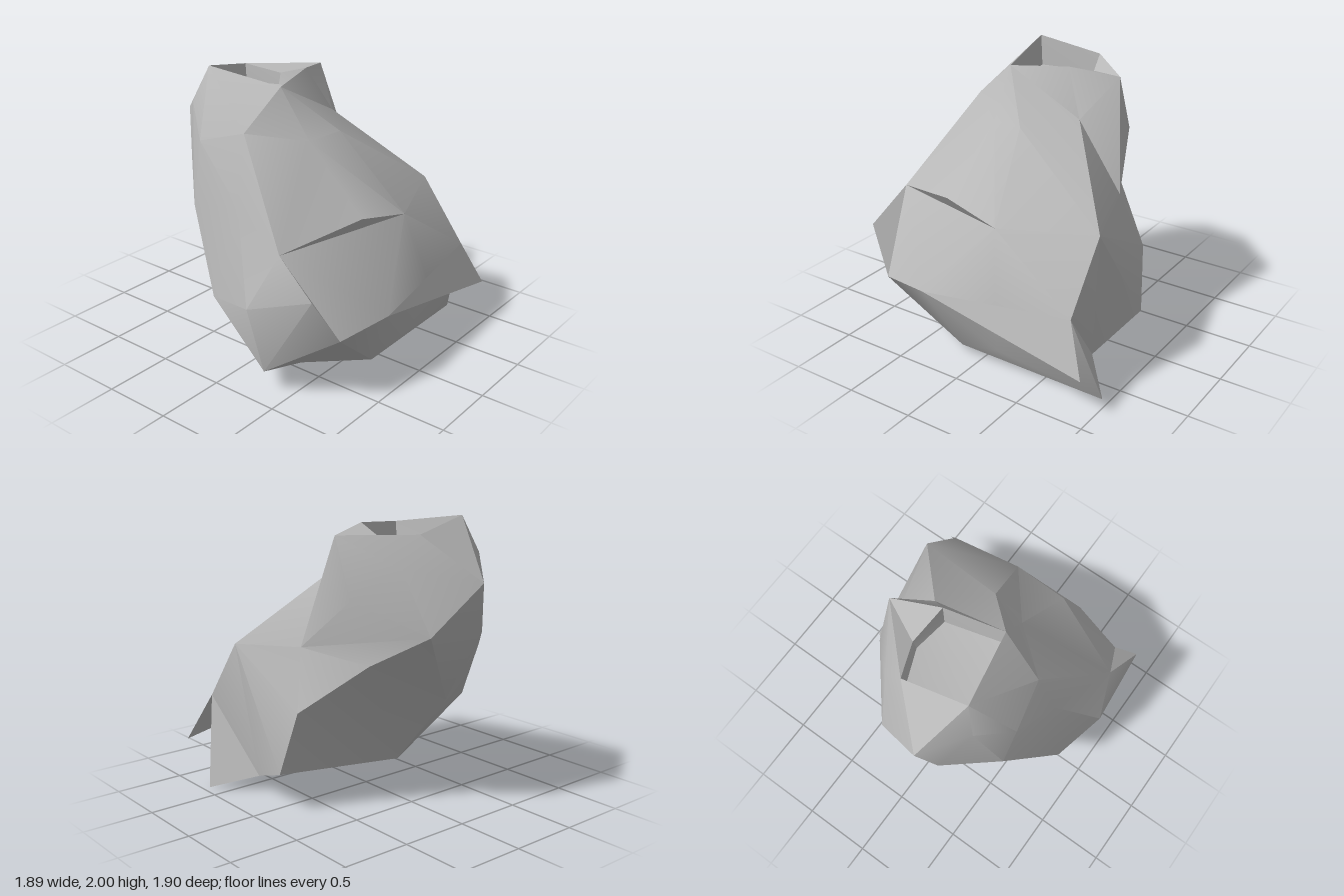
import * as THREE from 'three';
import { toCreasedNormals } from 'three/addons/utils/BufferGeometryUtils.js';

const p = (x, y, z) => new THREE.Vector3(x, y, z);

// Turn a list of corner points (three per face) into a creased geometry
function facetGeometry(corners) {
  const geometry = new THREE.BufferGeometry().setFromPoints(corners);
  return toCreasedNormals(geometry, 0.5);
}

// Add a face unless its corners collapse to a line
function addFace(out, a, b, c) {
  const area = b.clone().sub(a).cross(c.clone().sub(a)).length();
  if (area > 1e-5) out.push(a, b, c);
}

// Join two rings with quads; each is folded along its rising (r) or falling (f) diagonal
function bridge(out, low, up, folds) {
  for (let i = 0; i < low.length; i++) {
    const j = (i + 1) % low.length;
    const [a, b, c, d] = [low[i], low[j], up[j], up[i]];
    if (folds[i] === 'r') {
      addFace(out, a, b, c);
      addFace(out, a, c, d);
    } else {
      addFace(out, a, b, d);
      addFace(out, b, c, d);
    }
  }
}

export function createModel() {
  const group = new THREE.Group();
  group.name = 'rock';
  const stone = new THREE.MeshStandardMaterial({ color: 0xb8b8b8, side: THREE.DoubleSide });
  stone.name = 'grey stone';

  // Corners used more than once
  const foot = p(0.32, 0.03, 0.47);
  const heel = p(-0.16, 0.19, 0.17);
  const toe = p(0.71, 0.06, 0.17);
  const dent = p(0.8, 0.19, -0.2);
  const finTip = p(0.65, 0, -0.95);
  const finRoot = p(0.37, 0.11, -0.7);
  const backFoot = p(-0.08, 0.28, -0.83);
  const knee = p(0.84, 0.5, 0.72);
  const sideCorner = p(0.94, 0.55, 0.32);
  const backCorner = p(0.82, 0.64, -0.8);
  const lowBack = p(-0.2, 0.73, -0.76);
  const chin = p(0.45, 1.04, 0.85);
  const brow = p(0.68, 1.16, 0.28);
  const hip = p(0.73, 1.07, -0.15);
  const backEdge = p(0.48, 1.09, -0.8);
  const cleft = p(-0.07, 1.14, -0.63);
  const cheek = p(-0.09, 1.66, 0.56);
  const nape = p(-0.03, 1.63, -0.32);
  const peak = p(-0.58, 2, 0.36);
  const rimFront = p(-0.03, 1.92, 0.25);
  const rimBack = p(-0.14, 1.95, -0.16);
  const horn = p(-0.27, 1.9, -0.49);
  const notch = p(-0.41, 1.86, -0.2);
  const rimSide = p(-0.66, 1.91, -0.1);

  // Cross-sections of the leaning boulder, each running round from the -x side by the front
  const base = [
    heel, heel, p(0.33, 0.16, 0.88), knee, knee, toe, dent,
    finTip, finRoot, backFoot, backFoot, heel,
  ];
  const belly = [
    p(-0.59, 0.73, 0.23), p(-0.14, 0.56, 0.85), p(0.25, 0.63, 0.95), p(0.76, 0.83, 0.91), knee, sideCorner,
    p(0.88, 0.58, -0.25), backCorner, backEdge, lowBack, lowBack, p(-0.5, 1.05, -0.39),
  ];
  const waist = [
    p(-0.85, 1.25, 0.3), p(-0.53, 1.06, 0.61), p(-0.04, 1.18, 0.69), chin, chin, brow, hip,
    backEdge, backEdge, cleft, cleft, p(-0.85, 1.27, -0.17),
  ];
  const shoulder = [
    p(-0.95, 1.6, 0.2), p(-0.66, 1.75, 0.45), p(-0.43, 1.56, 0.63), cheek, cheek, p(0.2, 1.58, 0.23),
    p(0.26, 1.6, -0.03), nape, nape, horn, p(-0.43, 1.49, -0.49), p(-0.65, 1.7, -0.25),
  ];
  const rim = [
    rimSide, peak, peak, rimFront, rimFront, rimFront, rimFront, rimBack, rimBack, horn, horn, rimSide,
  ];

  // Copies with one corner moved make the sole, the fin, the brow's underside and the notched ledge
  const swap = (ring, from, to) => ring.map((v) => (v === from ? to : v));
  const sole = swap(base, dent, toe);
  const bottom = swap(swap(base, dent, p(0.48, 0.03, -0.14)), finTip, finRoot);
  const underBrow = swap(waist, brow, hip);
  const ledge = swap(rim, horn, notch);

  // Shallow hollow in the top: the ledge drawn in a little and dropped
  const hollowCentre = p(-0.38, 1.74, 0.1);
  const hollow = ledge.map((v) => p(
    THREE.MathUtils.lerp(v.x, hollowCentre.x, 0.08), 1.78, THREE.MathUtils.lerp(v.z, hollowCentre.z, 0.08)));

  // Rings from the bottom up and down into the hollow, with the folds of the band above each
  const plain = 'ffffffffffff';
  const bands = [
    [bottom, plain], [sole, plain], [base, 'ffrfffrfffff'], [belly, 'rrrfffffffff'], [underBrow, plain],
    [waist, 'rrrfrffffffr'], [shoulder, 'rrffffffffff'], [rim, plain], [ledge, plain], [hollow, plain],
  ];
  const faces = [];
  for (let k = 0; k + 1 < bands.length; k++) bridge(faces, bands[k][0], bands[k + 1][0], bands[k][1]);
  for (let i = 0; i < base.length; i++) {
    const j = (i + 1) % base.length;
    addFace(faces, bottom[j], bottom[i], foot);
    addFace(faces, hollow[i], hollow[j], hollowCentre);
  }
  const boulder = new THREE.Mesh(facetGeometry(faces), stone);
  boulder.name = 'boulder';

  // Thin shard sticking out at the back corner
  const shard = new THREE.Mesh(facetGeometry([sideCorner, p(0.94, 0.3, -0.95), backCorner]), stone);
  shard.name = 'shard';

  group.add(boulder, shard);
  return group;
}
